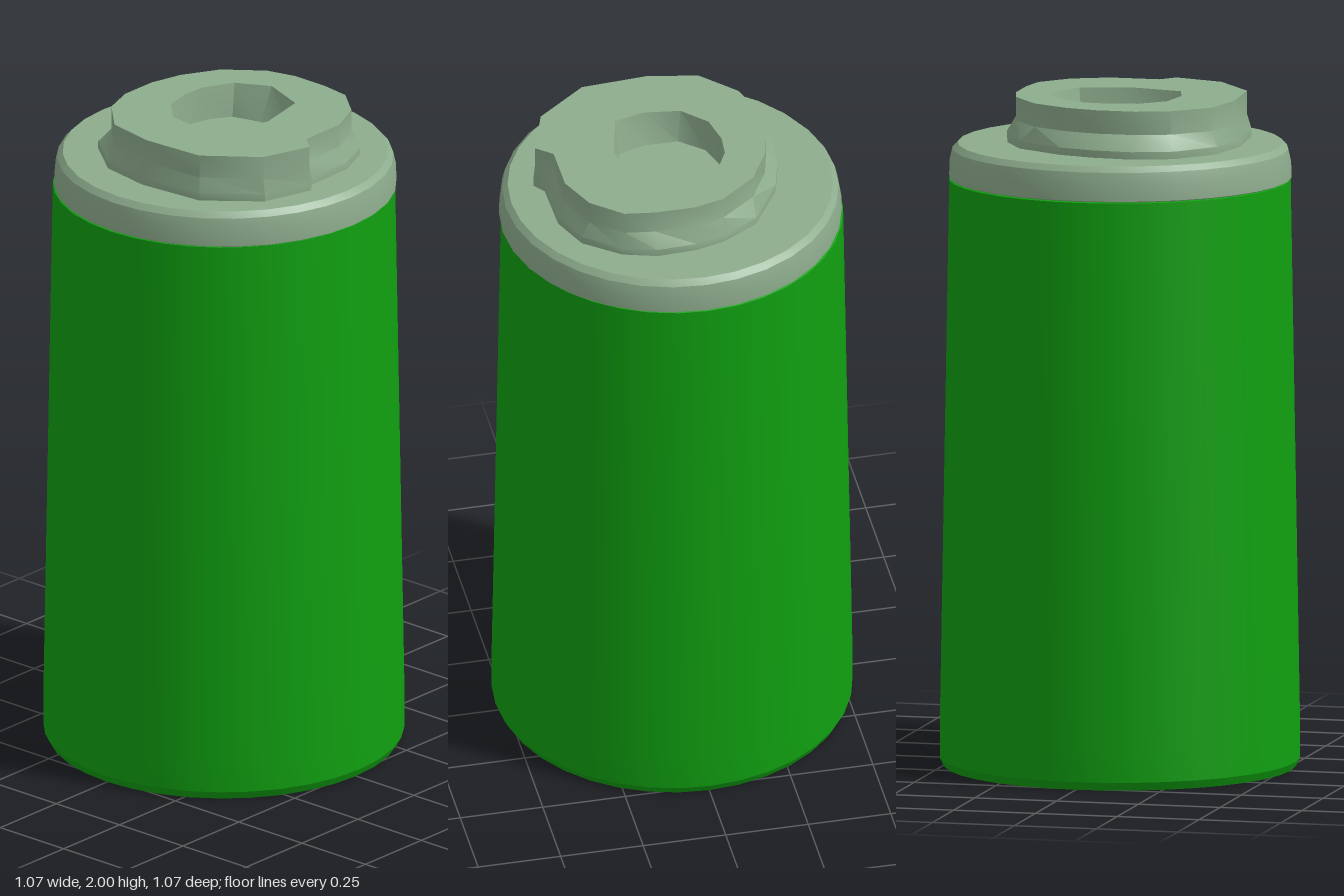
import * as THREE from 'three';
import { toCreasedNormals } from 'three/addons/utils/BufferGeometryUtils.js';

const green = new THREE.MeshStandardMaterial({ color: 0x10a010 });
green.name = 'sleeve green';
const pale = new THREE.MeshStandardMaterial({ color: 0x8dac8d, side: THREE.DoubleSide });
pale.name = 'pale green';

const vecs = (pts) => pts.map(([x, y]) => new THREE.Vector2(x, y));
const lathe = (pts, sides) => toCreasedNormals(new THREE.LatheGeometry(vecs(pts), sides), 0.45);

// Walls through stacked [x, z] outlines: layers = [[y, outline], ...] from bottom to top
function loft(layers) {
  const pos = [];
  for (let k = 0; k + 1 < layers.length; k++) {
    const [y0, a] = layers[k], [y1, b] = layers[k + 1];
    a.forEach((p, i) => {
      const j = (i + 1) % a.length;
      const b0 = [p[0], y0, p[1]], b1 = [a[j][0], y0, a[j][1]];
      const t0 = [b[i][0], y1, b[i][1]], t1 = [b[j][0], y1, b[j][1]];
      pos.push(...b0, ...t0, ...t1, ...b0, ...t1, ...b1);
    });
  }
  const g = new THREE.BufferGeometry();
  g.setAttribute('position', new THREE.Float32BufferAttribute(pos, 3));
  return toCreasedNormals(g, 0.6);
}

// Upward-facing flat plate from an [x, z] outline, with an optional hole
function plate(outline, y, hole) {
  const flip = (o) => vecs(o.map(([x, z]) => [x, -z]));
  const s = new THREE.Shape(flip(outline));
  if (hole) s.holes.push(new THREE.Path(flip(hole)));
  return new THREE.ShapeGeometry(s).rotateX(-Math.PI / 2).translate(0, y, 0);
}

export function createModel() {
  const model = new THREE.Group();
  const add = (name, geometry, material, x = 0, y = 0, z = 0) => {
    const m = new THREE.Mesh(geometry, material);
    m.name = name;
    m.position.set(x, y, z);
    model.add(m);
    return m;
  };

  // Tapered sleeve with a small bevel at the foot
  add('sleeve', lathe([[0.522, 0], [0.535, 0.025], [0.535, 0.12], [0.507, 1.755], [0.49, 1.76]], 36), green);

  // Underside with a central socket and three smaller holes: [x, z, radius, depth]
  const holes = [[0, 0, 0.145, 0.3], [0.27, -0.115, 0.035, 0.1], [0.233, 0.163, 0.035, 0.1], [-0.256, -0.012, 0.078, 0.12]];
  const ring = (r, n, x = 0, z = 0) => Array.from({ length: n }, (_, i) => {
    const a = (i / n) * Math.PI * 2;
    return [x + r * Math.sin(a), z + r * Math.cos(a)];
  });
  const base = new THREE.Shape(vecs(ring(0.522, 36)));
  holes.forEach(([x, z, r, d], i) => {
    const n = i === 0 ? 14 : 9;
    base.holes.push(new THREE.Path(vecs(ring(r, n, x, z))));
    add(i === 0 ? 'centralSocket' : 'baseHole', lathe([[r, 0], [r * 0.85, d], [0, d]], n), pale, x, 0, z);
  });
  add('underside', new THREE.ShapeGeometry(base).rotateX(Math.PI / 2), green);

  // Collar with a rounded shoulder
  add('collar', lathe([[0.49, 1.75], [0.508, 1.76], [0.506, 1.81], [0.498, 1.845], [0.482, 1.862], [0, 1.865]], 32), pale, 0.005);

  // Spiral boss: its radius shrinks round the turn and ends in a step
  const bossTop = [[0.4, 0.07], [0.35, 0.22], [0.2, 0.337], [0, 0.35], [-0.15, 0.32], [-0.25, 0.22], [-0.285, 0.12],
    [-0.285, 0], [-0.26, -0.1], [-0.2, -0.21], [-0.09, -0.295], [0, -0.318], [0.12, -0.318], [0.21, -0.305],
    [0.3, -0.23], [0.35, -0.12], [0.352, 0.03]];
  const bossBase = [[0.405, 0.07], [0.36, 0.225], [0.21, 0.348], [0, 0.367], [-0.16, 0.338], [-0.285, 0.24], [-0.328, 0.12],
    [-0.32, 0], [-0.29, -0.11], [-0.2, -0.255], [-0.09, -0.32], [0, -0.345], [0.12, -0.35], [0.22, -0.32],
    [0.325, -0.24], [0.373, -0.13], [0.378, 0.035]];
  const boreTop = [[0.175, 0], [0.14, 0.15], [0.05, 0.175], [-0.06, 0.16], [-0.13, 0.09], [-0.15, 0],
    [-0.145, -0.07], [-0.1, -0.16], [0, -0.213], [0.14, -0.16]];
  const boreFloor = [[0.15, 0], [0.135, 0.12], [0.05, 0.147], [-0.05, 0.145], [-0.12, 0.085], [-0.148, 0],
    [-0.13, -0.08], [-0.09, -0.14], [0, -0.165], [0.125, -0.15]];
  add('bossWall', loft([[1.86, bossBase], [1.885, bossBase], [1.93, bossTop], [2, bossTop]]), pale);
  add('bossTop', plate(bossTop, 2, boreTop), pale);

  // Shallow bore in the boss, its walls facing inward
  add('boreWall', loft([[2, boreTop], [1.9, boreFloor]]), pale);
  add('boreFloor', plate(boreFloor, 1.9), pale);

  return model;
}
